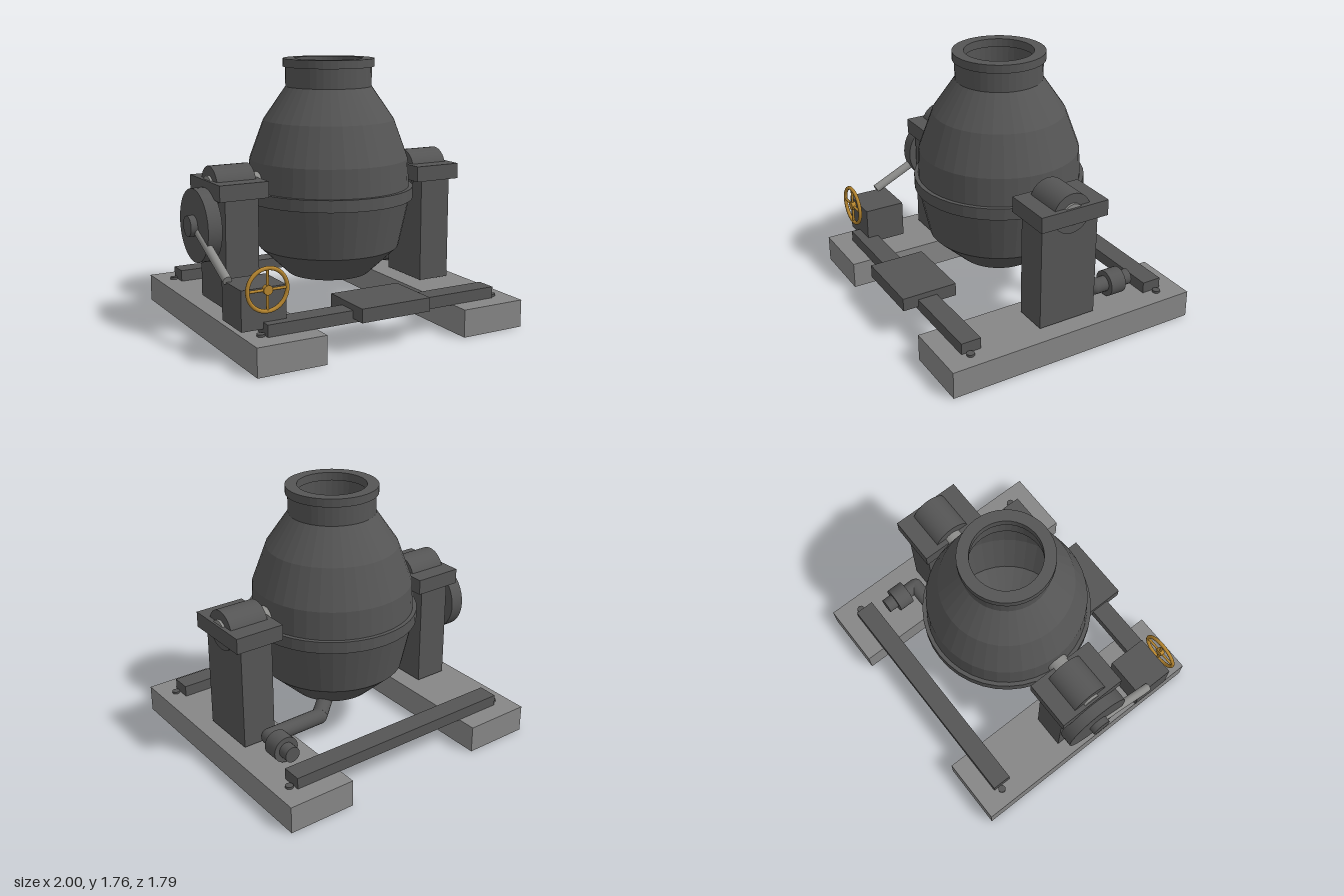
import * as THREE from 'three';

const CX = 0.03; // the drum axis sits slightly off centre

export function createModel() {
  const model = new THREE.Group();
  const mat = (name, color, extra = {}) => {
    const m = new THREE.MeshStandardMaterial({ color, ...extra });
    m.name = name;
    return m;
  };
  const iron = mat('dark iron', 0x555555);
  const shell = mat('drum iron', 0x555555, { flatShading: true, side: THREE.DoubleSide });
  const concrete = mat('grey concrete', 0x868686);
  const steel = mat('pale steel', 0x8c8c8a);
  const brass = mat('brass', 0xb5852f);

  const add = (name, geo, material, parent = model) => {
    const m = new THREE.Mesh(geo, material);
    m.name = name;
    parent.add(m);
    return m;
  };
  // Box given by its limits on each axis
  const box = (name, [x0, x1], [y0, y1], [z0, z1], material) => {
    const m = add(name, new THREE.BoxGeometry(x1 - x0, y1 - y0, z1 - z0), material);
    m.position.set((x0 + x1) / 2, (y0 + y1) / 2, (z0 + z1) / 2);
    return m;
  };
  // Cylinder running between two points
  const rod = (name, a, b, r, material, parent = model, sides = 32) => {
    const from = new THREE.Vector3(...a), to = new THREE.Vector3(...b);
    const dir = to.clone().sub(from);
    const m = add(name, new THREE.CylinderGeometry(r, r, dir.length(), sides), material, parent);
    m.position.copy(from).add(to).multiplyScalar(0.5);
    m.quaternion.setFromUnitVectors(new THREE.Vector3(0, 1, 0), dir.normalize());
    return m;
  };
  const lathe = (name, pts) => {
    const m = add(name, new THREE.LatheGeometry(pts.map(p => new THREE.Vector2(...p)), 40), shell);
    m.position.x = CX;
    return m;
  };

  // Drum: outside going up, then the inside coming down
  lathe('drum', [
    [0, 0.305], [0.28, 0.312], [0.479, 0.5], [0.55, 0.83], [0.545, 0.91], [0.535, 1.1],
    [0.44, 1.36], [0.289, 1.58], [0.289, 1.72], [0.25, 1.72], [0.25, 1.57],
    [0.41, 1.34], [0.505, 1.1], [0.515, 0.84], [0.45, 0.51], [0.26, 0.34], [0, 0.34],
  ]);
  lathe('drumRim', [[0.228, 1.71], [0.305, 1.71], [0.305, 1.765], [0.228, 1.765], [0.228, 1.71]]);
  lathe('drumBand', [[0.53, 0.83], [0.572, 0.83], [0.572, 0.91], [0.53, 0.91]]);

  // Mixing blade inside the drum
  const blade = box('mixingBlade', [0.155, 0.205], [0.5, 0.8], [-0.18, -0.08], iron);
  blade.rotation.y = Math.PI / 4;

  for (const s of [-1, 1]) {
    const side = s < 0 ? 'right' : 'left';
    const span = (a, b) => [CX + s * a, CX + s * b].sort((p, q) => p - q);
    // Foundation, pillar, cap and bearing on each side
    box(side + 'Foundation', span(0.507, 0.97), [0, 0.185], [-0.9, 0.89], concrete);
    box(side + 'Pillar', span(0.625, 0.855), [0.2, 0.912], [-0.205, 0.205], iron);
    box(side + 'PillarCap', span(0.567, 0.905), [0.912, 1.018], [-0.247, 0.24], iron);
    rod(side + 'Bearing', [CX + s * 0.603, 0.972, 0], [CX + s * 0.873, 0.972, 0], 0.135, iron);
    rod(side + 'Trunnion', [CX + s * 0.515, 0.972, 0], [CX + s * 0.89, 0.972, 0], 0.072, steel);
    // Front and rear tie bars with anchor bolts
    for (const z of [-0.72, 0.71])
      rod('anchorBolt', [CX + s * 0.86, 0.18, z], [CX + s * 0.86, 0.2, z], 0.026, iron, model, 16);
  }
  box('frontTieBar', [-0.805, 0.86], [0.183, 0.262], [0.62, 0.757], iron);
  box('rearTieBar', [-0.805, 0.86], [0.183, 0.262], [-0.768, -0.632], iron);
  box('frontPlatform', [-0.22, 0.28], [0.21, 0.3], [0.48, 0.865], iron);

  // Tilting drive: disc, hub, link and gearbox
  rod('driveDisc', [-0.955, 0.73, 0], [-0.86, 0.73, 0], 0.24, iron, model, 40);
  rod('driveHub', [-1, 0.73, 0], [-0.95, 0.73, 0], 0.068, iron);
  rod('driveLink', [-0.942, 0.7, 0.04], [-0.942, 0.485, 0.49], 0.03, steel, model, 16);
  box('gearbox', [-0.948, -0.65], [0.22, 0.475], [0.415, 0.695], iron);

  // Handwheel with four spokes
  const wheel = new THREE.Group();
  wheel.name = 'handwheel';
  wheel.position.set(-0.797, 0.473, 0.74);
  model.add(wheel);
  add('wheelRim', new THREE.TorusGeometry(0.131, 0.013, 10, 40), brass, wheel);
  rod('wheelHub', [0, 0, -0.016], [0, 0, 0.016], 0.03, brass, wheel, 20);
  for (let i = 0; i < 4; i++) {
    const a = i * Math.PI / 2;
    rod('wheelSpoke', [0, 0, 0], [0.13 * Math.cos(a), 0.13 * Math.sin(a), 0], 0.009, brass, wheel, 10);
  }

  // Gas pipe and burner at the back
  const path = [[0.757, 0.285, -0.567], [0.757, 0.285, -0.3], [0.36, 0.292, -0.3], [0.13, 0.3, -0.08]];
  for (let i = 0; i < 3; i++) rod('gasPipe', path[i], path[i + 1], 0.053, iron, model, 20);
  for (const p of path.slice(1, 3))
    add('pipeElbow', new THREE.SphereGeometry(0.053, 20, 12), iron).position.set(...p);
  rod('burnerCollar', [0.757, 0.285, -0.495], [0.757, 0.285, -0.382], 0.088, iron);

  return model;
}
